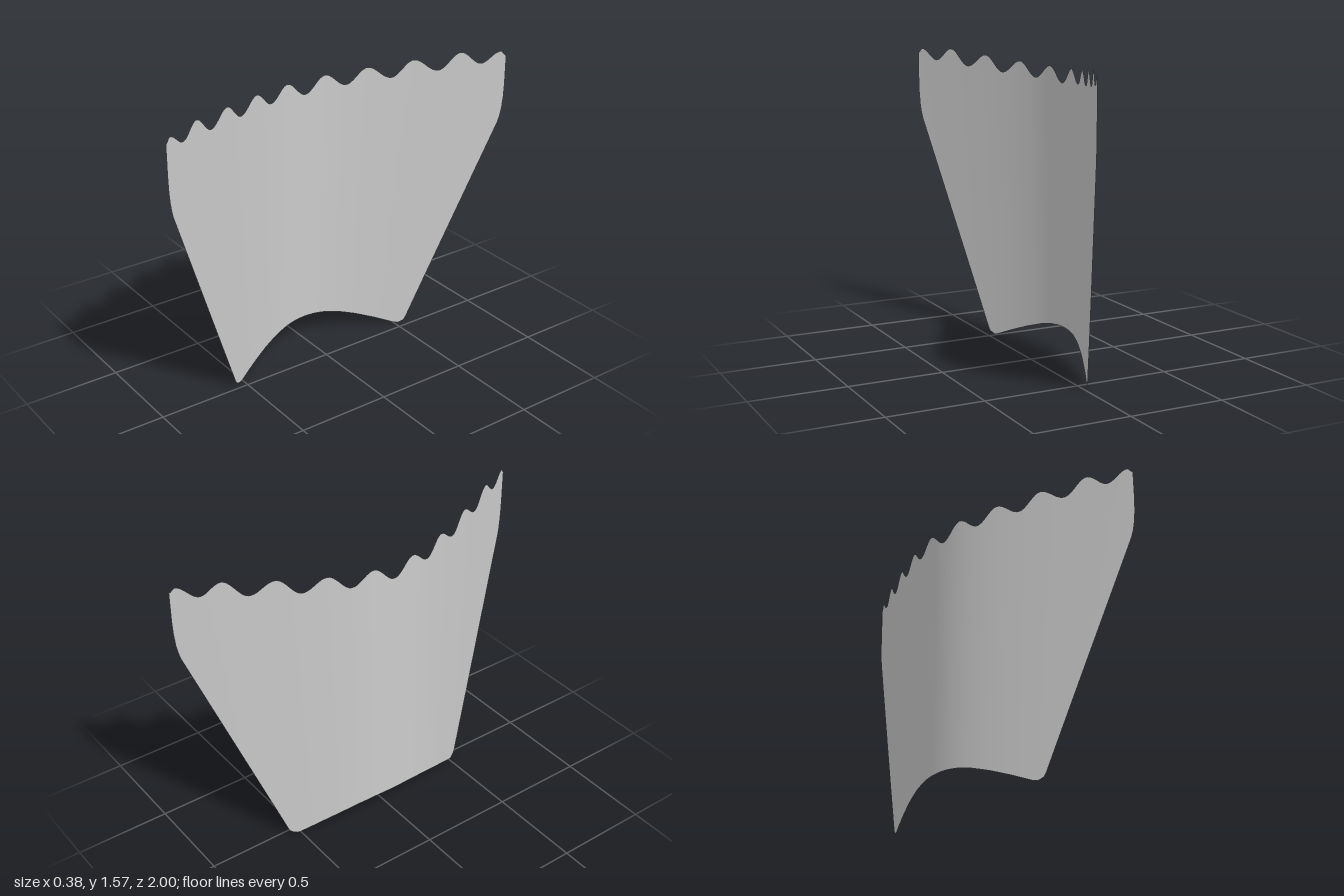
import * as THREE from 'three';

// Half outlines as [z, y]; both are mirrored about z = 0.
const LOWER = [[0, 0.148], [0.06, 0.146], [0.12, 0.139], [0.2, 0.121], [0.3, 0.088], [0.4, 0.048],
  [0.5, 0.004], [0.518, 0], [0.533, 0.005], [0.55, 0.015], [0.56, 0.035],
  [0.977, 1.17], [0.986, 1.205], [0.993, 1.25], [0.998, 1.31], [1, 1.38]];
const SCALLOPS = [[0, 1.43], [0.115, 1.51], [0.225, 1.443], [0.335, 1.522], [0.45, 1.457], [0.56, 1.542],
  [0.675, 1.477], [0.785, 1.565], [0.88, 1.5], [0.973, 1.559], [1, 1.535]];

// Reads a height off an outline, blending between its points with ease().
function heightAt(points, z, ease) {
  let i = 0;
  while (i < points.length - 2 && z > points[i + 1][0]) i++;
  const [z0, y0] = points[i], [z1, y1] = points[i + 1];
  return y0 + (y1 - y0) * ease((z - z0) / (z1 - z0));
}
const linear = t => t;
const wave = t => (1 - Math.cos(Math.PI * t)) / 2;

// Bend of the sheet: a rounded V that leans in slightly towards the top.
function bend(z, y) {
  const a = 0.17, s = 0.53;
  return -0.195 - a + Math.hypot(a, s * z) + 0.012 * y * (1 - Math.abs(z));
}

export function createModel() {
  // Column positions: an even spacing plus every outline corner.
  const half = new Set([...LOWER, ...SCALLOPS].map(p => p[0]));
  for (let i = 1; i < 80; i++) half.add(i / 80);
  const right = [...half].sort((a, b) => a - b);
  const columns = [...right.slice(1).reverse().map(z => -z), ...right];

  // Vertical columns of vertices between the lower and upper outline.
  const rows = 10, positions = [], index = [];
  columns.forEach((z, c) => {
    const low = heightAt(LOWER, Math.abs(z), linear);
    const high = heightAt(SCALLOPS, Math.abs(z), wave);
    for (let r = 0; r <= rows; r++) {
      const y = low + (high - low) * r / rows;
      positions.push(bend(z, y), y, z);
      if (c > 0 && r > 0) {
        const d = c * (rows + 1) + r, b = d - rows - 1;
        index.push(b - 1, b, d - 1, b, d, d - 1);
      }
    }
  });
  const geometry = new THREE.BufferGeometry();
  geometry.setAttribute('position', new THREE.Float32BufferAttribute(positions, 3));
  geometry.setIndex(index);
  geometry.computeVertexNormals();

  const sheet = new THREE.Mesh(geometry,
    new THREE.MeshStandardMaterial({ color: 0xcccccc, side: THREE.DoubleSide }));
  sheet.name = 'scallopedSheet';
  const group = new THREE.Group();
  group.name = 'curvedPanel';
  group.add(sheet);
  return group;
}
